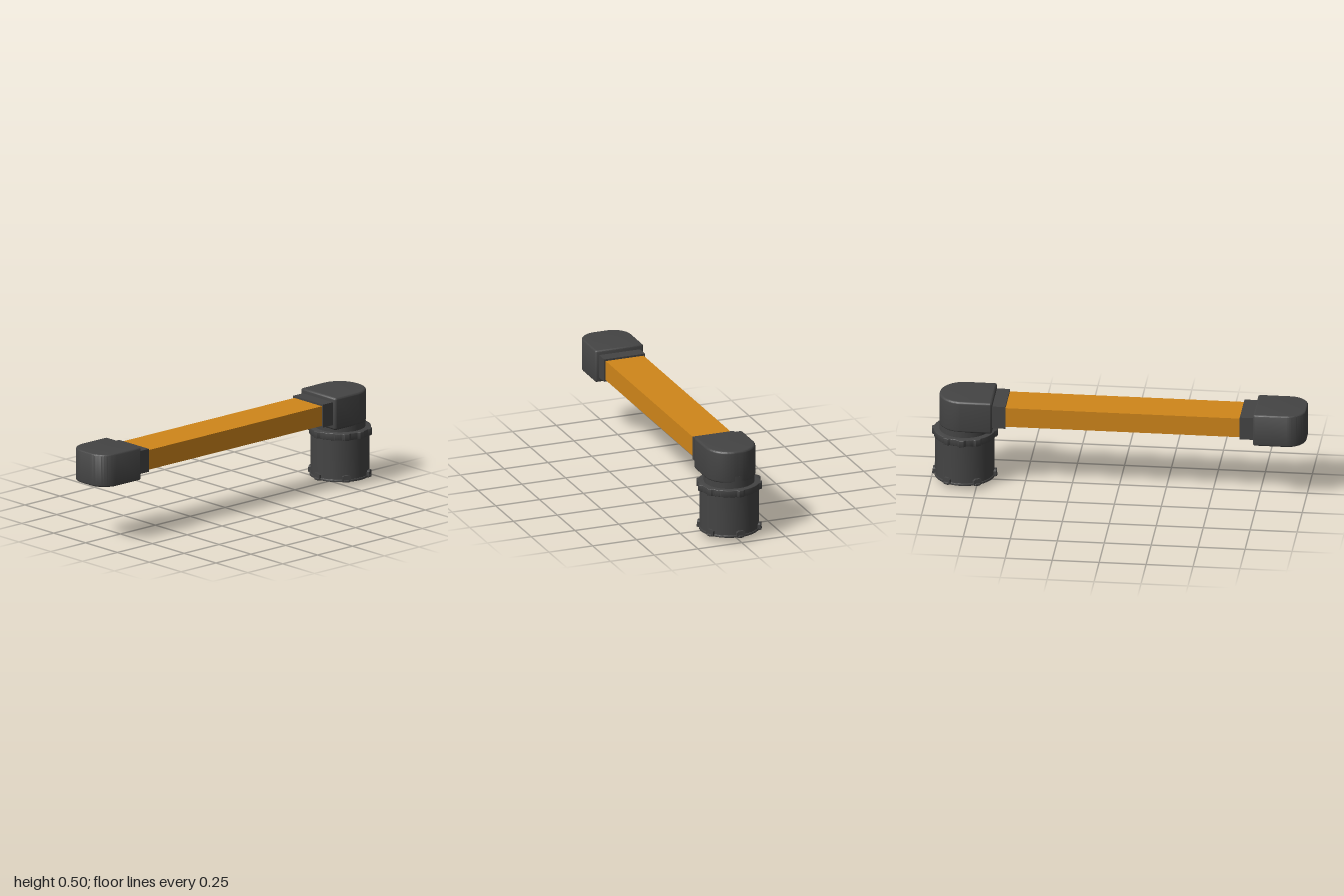
import * as THREE from 'three';
import { toCreasedNormals } from 'three/addons/utils/BufferGeometryUtils.js';

const dark = new THREE.MeshStandardMaterial({ color: 0x444444 });
const orange = new THREE.MeshStandardMaterial({ color: 0xd0861a });
const MOTOR_X = 0.823;

function addMesh(parent, name, geometry, material = dark) {
  const mesh = new THREE.Mesh(geometry, material);
  mesh.name = name;
  parent.add(mesh);
  return mesh;
}

// Extrude a plan outline upward from y0 to y1 with softened edges
function slab(shape, y0, y1, bevel) {
  const geo = new THREE.ExtrudeGeometry(shape, {
    depth: y1 - y0 - 2 * bevel, curveSegments: 16, bevelEnabled: bevel > 0,
    bevelThickness: bevel, bevelSize: bevel, bevelOffset: -bevel, bevelSegments: 4,
  });
  geo.rotateX(-Math.PI / 2);
  geo.translate(0, y0 + bevel, 0);
  return toCreasedNormals(geo, 0.6);
}

// Plan outline: square end at x = 0, rounded end at x = length
function capOutline(length, half, radius) {
  const r = 0.012;
  const s = new THREE.Shape();
  s.moveTo(r, -half);
  s.lineTo(length - radius, -half);
  s.absarc(length - radius, -half + radius, radius, -Math.PI / 2, 0, false);
  s.lineTo(length, half - radius);
  s.absarc(length - radius, half - radius, radius, 0, Math.PI / 2, false);
  s.lineTo(r, half);
  s.absarc(r, half - r, r, Math.PI / 2, Math.PI, false);
  s.lineTo(0, -half + r);
  s.absarc(r, -half + r, r, Math.PI, Math.PI * 1.5, false);
  return s;
}

// Round outline with raised lugs at the given angles in degrees
function luggedOutline(radius, lugRadius, angles) {
  const pts = [];
  for (let i = 0; i < 180; i++) {
    const deg = i * 2;
    let r = radius;
    for (const a of angles) {
      const d = Math.abs(((deg - a + 540) % 360) - 180);
      const t = THREE.MathUtils.clamp((8 - d) / 4, 0, 1);
      r = Math.max(r, radius + (lugRadius - radius) * t);
    }
    const rad = THREE.MathUtils.degToRad(deg);
    pts.push(new THREE.Vector2(r * Math.cos(rad), r * Math.sin(rad)));
  }
  return new THREE.Shape(pts);
}

function lathe(profile) {
  const pts = profile.map(([r, y]) => new THREE.Vector2(r, y));
  return toCreasedNormals(new THREE.LatheGeometry(pts, 64), 0.4);
}

export function createModel() {
  const model = new THREE.Group();
  model.name = 'armLink';

  // Square tube
  const beam = addMesh(model, 'beam', new THREE.BoxGeometry(1.26, 0.108, 0.216), orange);
  beam.position.set(-0.03, 0.411, 0);

  // Collars that grip the tube
  for (const [name, x] of [['endCollar', -0.69], ['elbowCollar', 0.632]]) {
    const collar = addMesh(model, name, new THREE.BoxGeometry(0.074, 0.126, 0.234));
    collar.position.set(x, 0.412, 0);
  }

  // Rounded end cap
  const endCap = addMesh(model, 'endCap', slab(capOutline(0.275, 0.137, 0.1), 0.322, 0.5, 0.01));
  endCap.rotation.y = Math.PI;
  endCap.position.x = -0.725;

  // Elbow housing above the motor
  const elbow = addMesh(model, 'elbowHousing', slab(capOutline(0.292, 0.137, 0.13), 0.322, 0.5, 0.012));
  elbow.position.x = 0.665;

  const motor = new THREE.Group();
  motor.name = 'motor';
  motor.position.x = MOTOR_X;
  model.add(motor);

  // Round neck joining elbow and motor
  addMesh(motor, 'motorNeck', lathe([[0, 0.27], [0.135, 0.27], [0.135, 0.36], [0, 0.36]]));

  // Motor can with its stepped bottom boss
  addMesh(motor, 'motorBody', lathe([
    [0, 0], [0.07, 0], [0.09, 0.014], [0.122, 0.026], [0.15, 0.026],
    [0.157, 0.032], [0.157, 0.27], [0, 0.27],
  ]));

  // Upper flange with lugs
  const six = [0, 60, 120, 180, 240, 300];
  addMesh(motor, 'upperFlange', slab(luggedOutline(0.165, 0.175, [...six, 90, 270]), 0.255, 0.293, 0.003));

  // Bottom rim and its clips
  addMesh(motor, 'lowerRim', slab(luggedOutline(0.161, 0.173, six), 0.025, 0.038, 0.002));
  for (const a of six) {
    const clip = new THREE.Shape();
    clip.moveTo(-0.023, 0.03);
    clip.lineTo(0.023, 0.03);
    clip.lineTo(0.023, 0.055);
    clip.lineTo(0.012, 0.062);
    clip.lineTo(-0.012, 0.062);
    clip.lineTo(-0.023, 0.055);
    const geo = new THREE.ExtrudeGeometry(clip, { depth: 0.02, bevelEnabled: false });
    geo.translate(0, 0, 0.149);
    const mesh = addMesh(motor, 'rimClip', geo);
    mesh.rotation.y = THREE.MathUtils.degToRad(a + 90);
  }
  return model;
}
